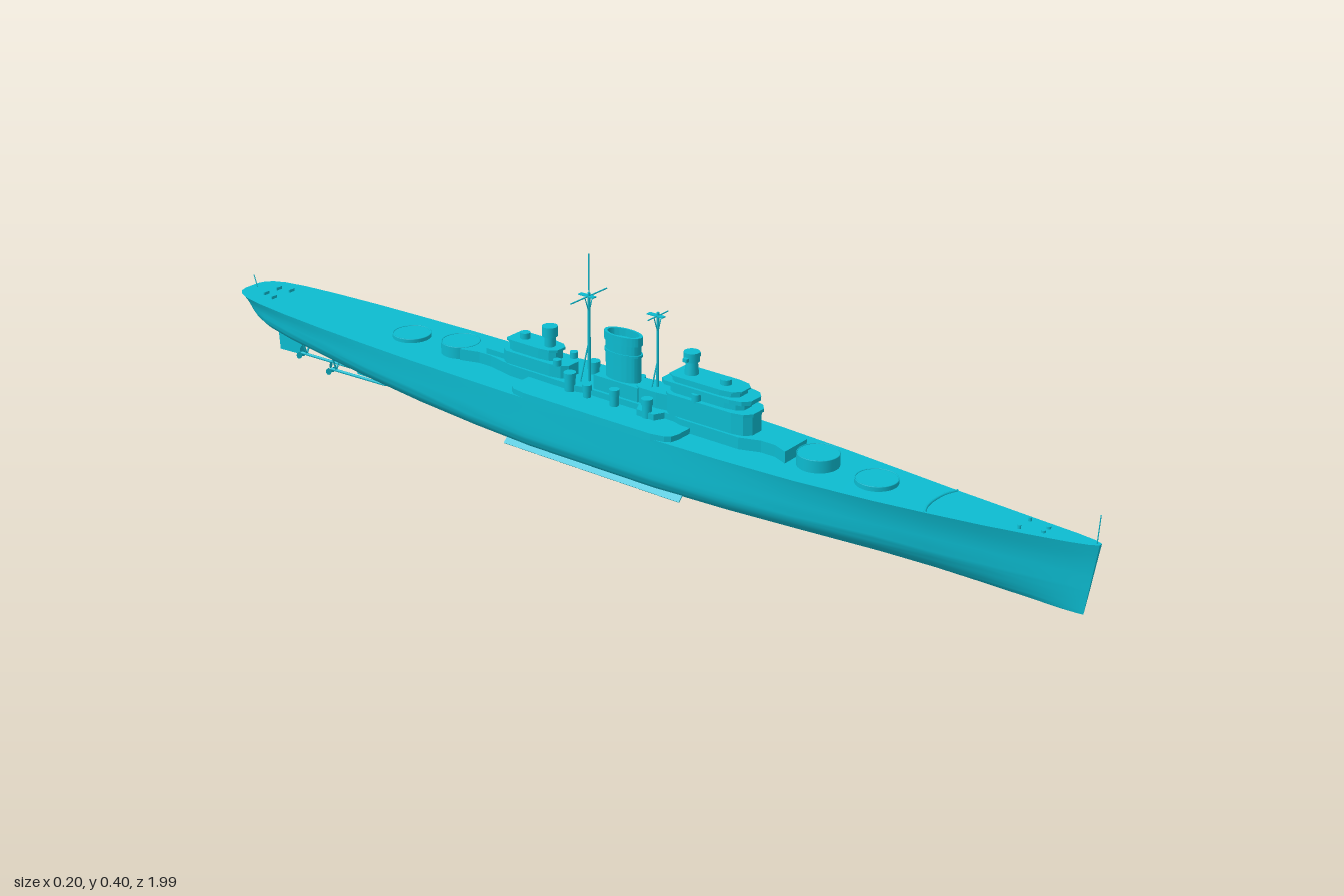
import * as THREE from 'three';
import { toCreasedNormals } from 'three/addons/utils/BufferGeometryUtils.js';

export function createModel() {
  const ship = new THREE.Group();
  ship.name = 'warship';
  const paint = new THREE.MeshStandardMaterial({ color: 0x0cbbd0, side: THREE.DoubleSide });

  const add = (name, geo, x = 0, y = 0, z = 0) => {
    const m = new THREE.Mesh(geo, paint);
    m.name = name;
    m.position.set(x, y, z);
    ship.add(m);
    return m;
  };
  const box = (name, w, h, d, x, y, z) => add(name, new THREE.BoxGeometry(w, h, d), x, y + h / 2, z);
  const drum = (name, r, y0, y1, x, z, rTop = r, n = 28) =>
    add(name, new THREE.CylinderGeometry(rTop, r, y1 - y0, n), x, (y0 + y1) / 2, z);
  const pair = (fn) => [1, -1].forEach(fn);
  // Straight round bar between two points
  const bar = (name, a, b, r) => {
    const p = new THREE.Vector3(...a), q = new THREE.Vector3(...b), d = q.clone().sub(p);
    const m = add(name, new THREE.CylinderGeometry(r, r, d.length(), 8));
    m.position.copy(p).add(q).multiplyScalar(0.5);
    m.quaternion.setFromUnitVectors(new THREE.Vector3(0, 1, 0), d.normalize());
  };
  // Mirrored plan outline ([half width, z], bow to stern) raised from y0 to y1
  const plan = (name, half, y0, y1) => {
    const pts = [...half, ...half.slice().reverse().map(([x, z]) => [-x, z])];
    const shape = new THREE.Shape(pts.map(([x, z]) => new THREE.Vector2(x, -z)));
    const g = new THREE.ExtrudeGeometry(shape, { depth: y1 - y0, bevelEnabled: false });
    return add(name, g.rotateX(-Math.PI / 2), 0, y0, 0);
  };

  // Hull stations: z, deck half width, lower half width, bilge top, keel, fullness
  const stations = [
    [1.0, 0.004, 0.002, 0.06, 0.004, 1.2], [0.985, 0.011, 0.004, 0.06, 0.003, 1.2],
    [0.95, 0.019, 0.008, 0.06, 0.002, 1.2], [0.88, 0.030, 0.017, 0.06, 0.002, 1.3],
    [0.8, 0.042, 0.028, 0.06, 0.002, 1.4], [0.7, 0.055, 0.042, 0.06, 0.002, 1.5],
    [0.6, 0.068, 0.057, 0.06, 0.002, 1.7], [0.45, 0.084, 0.078, 0.06, 0.002, 2],
    [0.3, 0.094, 0.092, 0.058, 0.002, 2.3], [0.15, 0.099, 0.099, 0.055, 0.002, 2.5],
    [-0.15, 0.1, 0.1, 0.055, 0.002, 2.5], [-0.3, 0.099, 0.098, 0.06, 0.003, 2.2],
    [-0.45, 0.096, 0.094, 0.066, 0.006, 1.9], [-0.58, 0.091, 0.088, 0.073, 0.015, 1.8],
    [-0.7, 0.085, 0.08, 0.08, 0.027, 1.8], [-0.82, 0.076, 0.069, 0.085, 0.042, 1.9],
    [-0.9, 0.067, 0.058, 0.09, 0.053, 2], [-0.95, 0.057, 0.047, 0.093, 0.06, 2],
    [-0.975, 0.046, 0.037, 0.095, 0.064, 2], [-0.988, 0.033, 0.026, 0.096, 0.066, 2],
    [-0.993, 0.018, 0.014, 0.097, 0.068, 2],
  ];
  const deckY = (z) => 0.124 + 0.016 * Math.max(0, (z - 0.45) / 0.55) ** 2;
  const ARC = 12, SIDE = 4;
  const section = ([z, wd, w, yb, yk, n]) => {
    const half = [], yd = deckY(z);
    for (let i = 0; i <= ARC; i++) {
      const a = (i / ARC) * Math.PI / 2;
      half.push([w * Math.sin(a) ** (2 / n), yb - (yb - yk) * Math.max(0, Math.cos(a)) ** (2 / n)]);
    }
    for (let i = 1; i <= SIDE; i++) {
      const t = i / SIDE;
      half.push([w + (wd - w) * t * t, yb + (yd - yb) * t]);
    }
    // Raked stem and sloping counter stern
    const bow = Math.max(0, (z - 0.9) / 0.1), aft = Math.max(0, (-0.88 - z) / 0.11);
    const rake = (y) => z + (yd - y) * (0.75 * aft - 0.15 * bow);
    const right = half.slice(1).reverse().map(([x, y]) => [-x, y, rake(y)]);
    return [...right, ...half.map(([x, y]) => [x, y, rake(y)])];
  };
  const rings = stations.map(section), N = rings[0].length;
  const index = [];
  for (let s = 0; s < rings.length - 1; s++)
    for (let i = 0; i < N; i++) {
      const j = (i + 1) % N, a = s * N + i, b = s * N + j;
      index.push(a, a + N, b, b, a + N, b + N);
    }
  for (let i = 1; i < N - 1; i++) {
    const e = (rings.length - 1) * N;
    index.push(0, i, i + 1, e, e + i + 1, e + i);
  }
  const hullGeo = new THREE.BufferGeometry();
  hullGeo.setAttribute('position', new THREE.Float32BufferAttribute(rings.flat(2), 3));
  hullGeo.setIndex(index);
  add('hull', toCreasedNormals(hullGeo, 0.6));

  // Underwater fittings
  const skeg = new THREE.Shape([[0.4, 0.002], [0.685, 0.002], [0.7, 0.03], [0.4, 0.012]].map(p => new THREE.Vector2(...p)));
  add('skeg', new THREE.ExtrudeGeometry(skeg, { depth: 0.008, bevelEnabled: false }).rotateY(Math.PI / 2), -0.004);
  const rudder = new THREE.Shape([[0.845, 0.004], [0.912, 0.001], [0.916, 0.06], [0.85, 0.055]].map(p => new THREE.Vector2(...p)));
  add('rudder', new THREE.ExtrudeGeometry(rudder, { depth: 0.008, bevelEnabled: false }).rotateY(Math.PI / 2), -0.004);
  pair((s) => {
    const keel = box('bilgeKeel', 0.016, 0.002, 0.42, s * 0.085, 0.016, 0);
    keel.rotation.z = -s * 0.75;
    [[0.05, -0.56, -0.715], [0.026, -0.64, -0.825]].forEach(([x, z0, z1]) => {
      bar('propellerShaft', [s * x, 0.026, z0], [s * x, 0.021, z1], 0.003);
      bar('shaftStrut', [s * x, 0.022, z1 + 0.015], [s * (x - 0.014), 0.05, z1 + 0.015], 0.002);
      bar('shaftStrut', [s * x, 0.022, z1 + 0.015], [s * (x + 0.01), 0.055, z1 + 0.015], 0.002);
      for (let k = 0; k < 3; k++) {
        const blade = add('propellerBlade', new THREE.CircleGeometry(0.007, 10).translate(0, 0.008, 0), s * x, 0.021, z1);
        blade.rotation.set(0, 0.35, k * Math.PI * 2 / 3, 'ZYX');
      }
    });
  });

  // Raised midships deck and deckhouse
  plan('midshipsDeck', [[0.07, 0.192], [0.087, 0.188], [0.094, 0.178], [0.1, 0.15], [0.101, 0], [0.1005, -0.15],
    [0.096, -0.178], [0.088, -0.189], [0.07, -0.193]], 0.12, 0.135);
  plan('deckhouse', [[0.034, 0.4], [0.022, 0.37], [0.022, 0.34], [0.036, 0.3], [0.036, 0.17], [0.03, 0.15], [0.03, 0.13],
    [0.05, 0.12], [0.05, 0.08], [0.03, 0.07], [0.03, -0.06], [0.036, -0.08], [0.036, -0.12], [0.034, -0.24],
    [0.022, -0.3], [0.022, -0.33], [0.034, -0.37]], 0.12, 0.147);

  // Main gun rings, empty of turrets
  [[0.57, 0.133], [0.448, 0.147], [-0.398, 0.147], [-0.53, 0.131]].forEach(([z, top]) => {
    drum('gunRing', 0.039, 0.11, top, 0, z, 0.039, 40);
    const lip = add('gunRingLip', new THREE.TorusGeometry(0.038, 0.0012, 6, 40), 0, top, z);
    lip.rotation.x = Math.PI / 2;
  });

  // Bridge: stacked tiers with overhanging platforms
  const tier = (name, w, z0, z1, y0, y1) => plan(name, [[w * 0.45, z0], [w * 0.85, z0 - 0.012], [w, z0 - 0.035],
    [w, z1 + 0.012], [w * 0.75, z1]], y0, y1);
  tier('bridgeBase', 0.031, 0.315, 0.13, 0.14, 0.187);
  tier('lowerPlatform', 0.036, 0.318, 0.13, 0.184, 0.19);
  tier('bridgeMiddle', 0.026, 0.295, 0.135, 0.19, 0.207);
  tier('upperPlatform', 0.034, 0.312, 0.12, 0.205, 0.213);
  tier('bridgeTop', 0.028, 0.285, 0.14, 0.213, 0.222);
  tier('bridgeRoof', 0.03, 0.29, 0.135, 0.222, 0.225);
  drum('directorTower', 0.014, 0.22, 0.25, 0, 0.168, 0.011);
  drum('directorHead', 0.015, 0.25, 0.268, 0, 0.168);
  box('rangefinder', 0.044, 0.007, 0.009, 0, 0.253, 0.168);
  drum('forwardDirector', 0.011, 0.222, 0.235, 0, 0.245);
  tier('bridgeAnnex', 0.024, 0.14, 0.055, 0.14, 0.178);

  // Funnel with flared cap and open mouth
  const oval = (r) => new THREE.Shape().absellipse(0, 0, 0.02 * r, 0.04 * r, 0, Math.PI * 2);
  const funnelPart = (name, r, y0, y1, hole) => {
    const s = oval(r);
    if (hole) s.holes.push(oval(hole));
    const g = new THREE.ExtrudeGeometry(s, { depth: y1 - y0, bevelEnabled: false, curveSegments: 32 });
    add(name, toCreasedNormals(g.rotateX(-Math.PI / 2), 0.6), 0, y0, 0.01);
  };
  box('funnelBase', 0.048, 0.04, 0.105, 0, 0.135, 0.01);
  funnelPart('funnel', 0.98, 0.17, 0.25);
  funnelPart('funnelBand', 1.06, 0.225, 0.23);
  funnelPart('funnelCap', 1.06, 0.248, 0.265, 0.88);

  // Aft superstructure
  tier('aftHouse', 0.03, -0.11, -0.265, 0.14, 0.172);
  tier('aftUpperHouse', 0.022, -0.145, -0.255, 0.172, 0.192);
  tier('aftPlatform', 0.026, -0.14, -0.26, 0.19, 0.195);
  box('aftLowHouse', 0.036, 0.013, 0.06, 0, 0.145, -0.285);
  drum('aftDirectorTower', 0.011, 0.19, 0.215, 0, -0.168);
  drum('aftDirectorHead', 0.015, 0.215, 0.235, 0, -0.168);
  drum('aftLookout', 0.01, 0.195, 0.207, 0, -0.23);

  // Side gun tubs and small platforms
  pair((s) => {
    [[0.044, 0.1, 0.172, 0.011], [0.04, 0.02, 0.168, 0.01], [0.036, -0.09, 0.172, 0.012], [0.04, -0.045, 0.16, 0.009]]
      .forEach(([x, z, top, r]) => {
        drum('sideTower', r * 0.85, 0.13, top - 0.012, s * x, z);
        drum('sideTowerHead', r, top - 0.012, top, s * x, z);
      });
    drum('bridgeWing', 0.009, 0.187, 0.203, s * 0.028, 0.2);
    drum('aftSideTub', 0.008, 0.172, 0.184, s * 0.025, -0.13);
    drum('bollard', 0.003, 0.12, 0.14, s * 0.018, 0.86);
    drum('capstan', 0.004, 0.12, 0.139, s * 0.009, 0.9);
    box('sternChock', 0.014, 0.01, 0.003, s * 0.025, 0.12, -0.9);
    box('sternChock', 0.014, 0.01, 0.003, s * 0.018, 0.12, -0.93);
  });

  // Foredeck breakwater
  const wave = new THREE.CatmullRomCurve3([[-0.054, 0.7], [-0.03, 0.691], [0, 0.688], [0.03, 0.691], [0.054, 0.7]]
    .map(([x, z]) => new THREE.Vector3(x, 0.128, z)));
  add('breakwater', new THREE.TubeGeometry(wave, 20, 0.0025, 6));

  // Masts, yards and aerials
  bar('foremast', [0, 0.17, 0.09], [0, 0.325, 0.09], 0.0025);
  bar('foreYard', [-0.03, 0.318, 0.09], [0.03, 0.318, 0.09], 0.0012);
  bar('mainmast', [0, 0.14, -0.072], [0, 0.325, -0.072], 0.003);
  bar('topmast', [0, 0.32, -0.072], [0, 0.402, -0.072], 0.0012);
  bar('mainYard', [-0.053, 0.318, -0.072], [0.053, 0.318, -0.072], 0.0014);
  [0.09, -0.072].forEach((z) => {
    box('mastPlatform', 0.01, 0.002, 0.036, 0, 0.317, z - 0.004);
    pair((s) => {
      bar('mastBrace', [0, 0.285, z], [s * 0.012, 0.318, z], 0.001);
      bar('mastLeg', [0, 0.23, z], [s * 0.014, 0.14, z - 0.012], 0.0015);
    });
  });
  bar('jackstaff', [0, 0.135, 0.993], [0, 0.192, 0.996], 0.001);
  bar('ensignStaff', [0, 0.12, -0.975], [0, 0.15, -0.985], 0.001);
  return ship;
}
